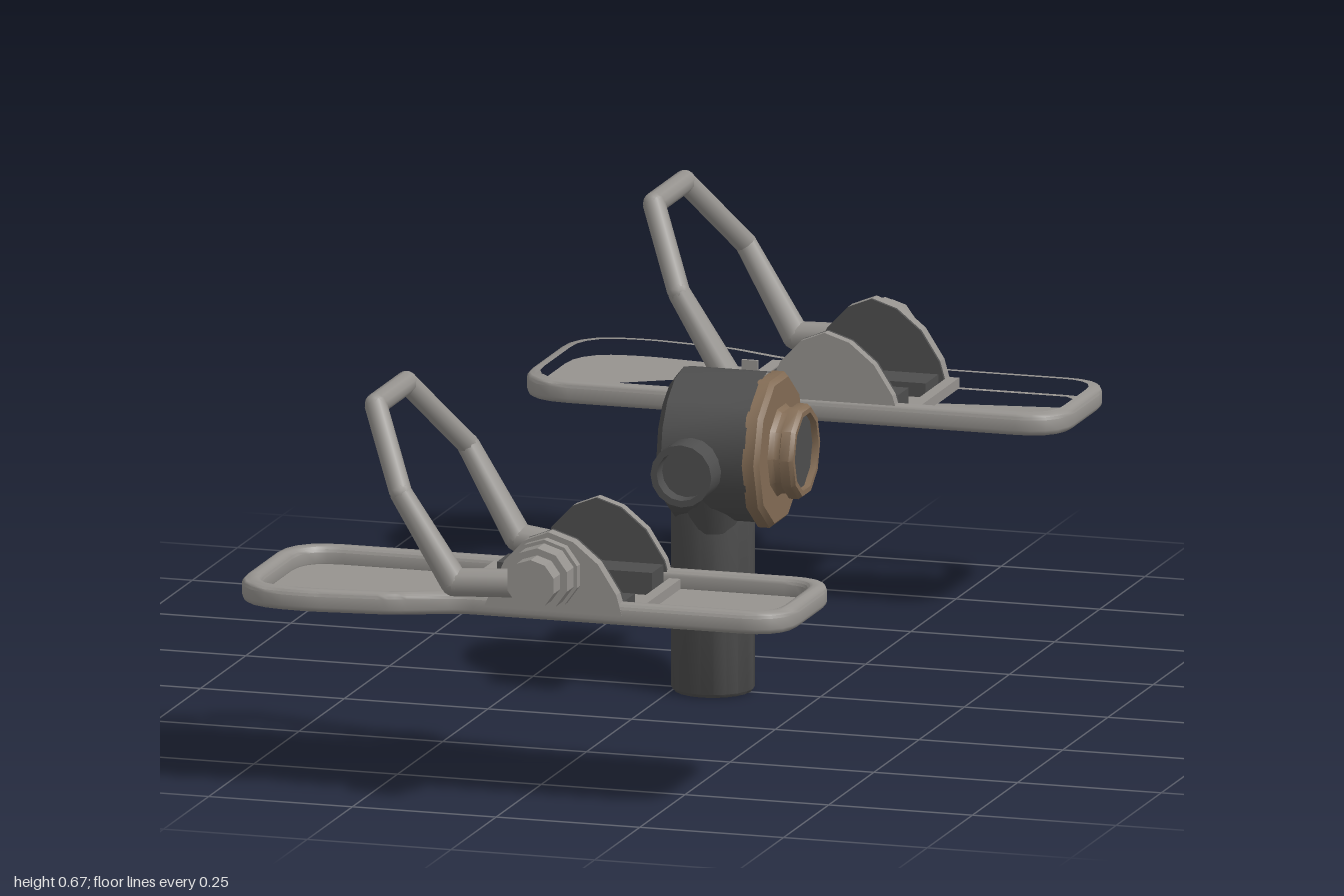
import * as THREE from 'three';
import { toCreasedNormals } from 'three/addons/utils/BufferGeometryUtils.js';

const paint = (name, color, side = THREE.FrontSide) =>
  Object.assign(new THREE.MeshStandardMaterial({ color, side }), { name });

export function createModel() {
  const model = new THREE.Group();
  model.name = 'pedalsAndPost';
  const metal = paint('grey metal', 0x96938f);
  const sheet = paint('grey sheet', 0x96938f, THREE.DoubleSide);
  const dark = paint('dark metal', 0x4e4e4e);
  const bronze = paint('bronze', 0x836c55);

  const add = (parent, name, geometry, material, x = 0, y = 0, z = 0) => {
    const mesh = new THREE.Mesh(geometry, material);
    mesh.name = name;
    mesh.position.set(x, y, z);
    parent.add(mesh);
    return mesh;
  };
  const lathe = (pts, sides) => toCreasedNormals(
    new THREE.LatheGeometry(pts.map(([r, h]) => new THREE.Vector2(r, h)), sides), 0.7);
  const box = (x0, x1, y0, y1, z0, z1) => new THREE.BoxGeometry(x1 - x0, y1 - y0, Math.abs(z1 - z0))
    .translate((x0 + x1) / 2, (y0 + y1) / 2, (z0 + z1) / 2);

  // Central post with its bearing housing
  const post = new THREE.Group();
  post.name = 'centralPost';
  model.add(post);
  add(post, 'column', lathe([[0, 0], [0.065, 0], [0.07, 0.006], [0.07, 0.32], [0, 0.32]], 20), dark, 0.063);
  add(post, 'shoulder', new THREE.CylinderGeometry(0.112, 0.07, 0.09, 20).scale(0.66, 1, 1), dark, 0.075, 0.325);
  add(post, 'housing', lathe([[0, 0], [0.112, 0], [0.127, 0.012], [0.127, 0.157]], 16)
    .rotateZ(-Math.PI / 2), dark, 0, 0.419);
  add(post, 'flange', lathe([[0, 0.154], [0.131, 0.154], [0.131, 0.174], [0.123, 0.182], [0.078, 0.182],
    [0.072, 0.19], [0.072, 0.2], [0.08, 0.203], [0.08, 0.219], [0.075, 0.226], [0.066, 0.226], [0.066, 0.212]], 10)
    .rotateZ(-Math.PI / 2), bronze, 0, 0.416);
  add(post, 'shaftEnd', new THREE.CylinderGeometry(0.068, 0.068, 0.03, 10).rotateZ(-Math.PI / 2),
    dark, 0.2, 0.416);
  add(post, 'crossShaft', lathe([[0, -0.19], [0.042, -0.19], [0.042, -0.22], [0.053, -0.22],
    [0.053, 0.178], [0.042, 0.178], [0.042, 0.148], [0, 0.148]], 16).rotateX(Math.PI / 2), dark, 0.063, 0.402);

  // Pedal outline with rounded corners, moved inwards by d; s mirrors it
  const outline = (d, s, Type) => {
    const corners = [[-0.477 + d, 0.615 + d, 0.09], [0.474 - d, 0.615 + d, 0.075], [0.474 - d, 0.907 - d, 0.075],
      [-0.09 - d * 0.3, 0.907 - d, 0.03], [-0.2, 0.95 - d, 0.03], [-0.34, 0.968 - d, 0.03],
      [-0.477 + d, 0.962 - d, 0.09]].map(([x, z, r]) => ({ p: new THREE.Vector2(x, z * s), r }));
    const shape = new Type();
    corners.forEach(({ p, r }, i) => {
      const n = corners.length;
      const toward = (q) => p.clone().add(q.clone().sub(p).setLength(Math.max(r - d * 0.6, 0.01)));
      const a = toward(corners[(i + n - 1) % n].p), b = toward(corners[(i + 1) % n].p);
      if (i) shape.lineTo(a.x, a.y); else shape.moveTo(a.x, a.y);
      shape.quadraticCurveTo(p.x, p.y, b.x, b.y);
    });
    shape.closePath();
    return shape;
  };

  const buildPedal = (s, name) => {
    const pedal = new THREE.Group();
    pedal.name = name;
    model.add(pedal);

    // Rounded rim
    const rim = outline(0.011, s, THREE.Shape);
    rim.holes.push(outline(0.021, s, THREE.Path));
    add(pedal, 'rim', toCreasedNormals(new THREE.ExtrudeGeometry(rim, { depth: 0.018, bevelEnabled: true,
      bevelThickness: 0.01, bevelSize: 0.011, bevelSegments: 3, curveSegments: 5 })
      .rotateX(Math.PI / 2), 0.8), metal, 0, 0.345);

    // Thin floor; the far pedal has open cut-outs
    const floor = outline(0.01, s, THREE.Shape);
    if (s < 0) {
      const cutouts = [[[-0.445, 0.695], [-0.206, 0.84], [-0.196, 0.72]],
        [[0.21, 0.775], [0.44, 0.81], [0.438, 0.85], [0.40, 0.885], [0.21, 0.885]]];
      for (const c of cutouts) {
        floor.holes.push(new THREE.Path(c.map(([x, z]) => new THREE.Vector2(x, z * s))));
      }
    }
    add(pedal, 'floor', new THREE.ShapeGeometry(floor, 5).rotateX(Math.PI / 2), sheet, 0, 0.325);
    add(pedal, 'rearCrossBar', box(-0.115, -0.093, 0.324, 0.35, 0.63 * s, 0.895 * s), metal);
    add(pedal, 'frontCrossBar', box(0.19, 0.21, 0.324, 0.342, 0.63 * s, 0.895 * s), metal);

    // Grip strips and small stop
    add(pedal, 'innerGrip', box(-0.09, 0.18, 0.326, 0.364, 0.645 * s, 0.71 * s), dark);
    add(pedal, 'outerGrip', box(-0.09, 0.18, 0.326, 0.35, 0.805 * s, 0.875 * s), dark);
    add(pedal, 'stop', box(-0.138, -0.11, 0.325, 0.37, 0.797 * s, 0.803 * s), metal);

    // Arched side cheeks with dark inner faces
    const arch = new THREE.Shape([[-0.05, 0.335], [0.19, 0.335], [0.18, 0.37], [0.148, 0.42], [0.105, 0.455],
      [0.062, 0.469], [0.02, 0.452], [-0.015, 0.415]].map(([x, y]) => new THREE.Vector2(x, y)));
    const cheek = (label, z0, z1, material) => add(pedal, label, new THREE.ExtrudeGeometry(arch,
      { depth: z1 - z0, bevelEnabled: false }), material, 0, 0, s > 0 ? z0 : -z1);
    cheek('innerCheek', 0.62, 0.638, metal);
    cheek('innerCheekLiner', 0.638, 0.644, dark);
    cheek('outerCheekLiner', 0.879, 0.885, dark);
    cheek('outerCheek', 0.885, 0.908, metal);

    // Pivot knob on the outside, small pivot on the inside
    const disc = (label, r, z0, z1, x, y) => add(pedal, label, toCreasedNormals(
      new THREE.CylinderGeometry(r, r, z1 - z0, 10).rotateX(Math.PI / 2), 0.5), metal, x, y, s * (z0 + z1) / 2);
    disc('pivotCollar', 0.06, 0.9, 0.925, 0.06, 0.4);
    disc('pivotBoss', 0.054, 0.925, 0.963, 0.06, 0.4);
    disc('pivotKnob', 0.042, 0.963, 1.0, 0.06, 0.4);
    disc('innerPivot', 0.023, 0.567, 0.622, -0.012, 0.363);

    // Angular toe hoop: straight bars joined by round corners
    const hoop = new THREE.Group();
    hoop.name = 'toeHoop';
    pedal.add(hoop);
    const bends = [[-0.005, 0.368, 0.592], [-0.09, 0.379, 0.59], [-0.18, 0.53, 0.583], [-0.255, 0.653, 0.685],
      [-0.255, 0.653, 0.855], [-0.18, 0.53, 0.955], [-0.09, 0.382, 0.945], [0.04, 0.387, 0.938]]
      .map(([x, y, z]) => new THREE.Vector3(x, y, z * s));
    const radius = (i) => (i < 2 || i > 5 ? 0.024 : 0.019);
    bends.forEach((p, i) => {
      add(hoop, 'hoopCorner', new THREE.SphereGeometry(radius(i), 10, 8), metal, p.x, p.y, p.z);
      if (!i) return;
      const q = bends[i - 1], way = p.clone().sub(q), mid = p.clone().add(q).multiplyScalar(0.5);
      const bar = add(hoop, 'hoopBar', new THREE.CylinderGeometry(radius(i), radius(i - 1), way.length(), 10, 1, true),
        metal, mid.x, mid.y, mid.z);
      bar.quaternion.setFromUnitVectors(new THREE.Vector3(0, 1, 0), way.normalize());
    });
  };
  buildPedal(1, 'leftPedal');
  buildPedal(-1, 'rightPedal');
  return model;
}
